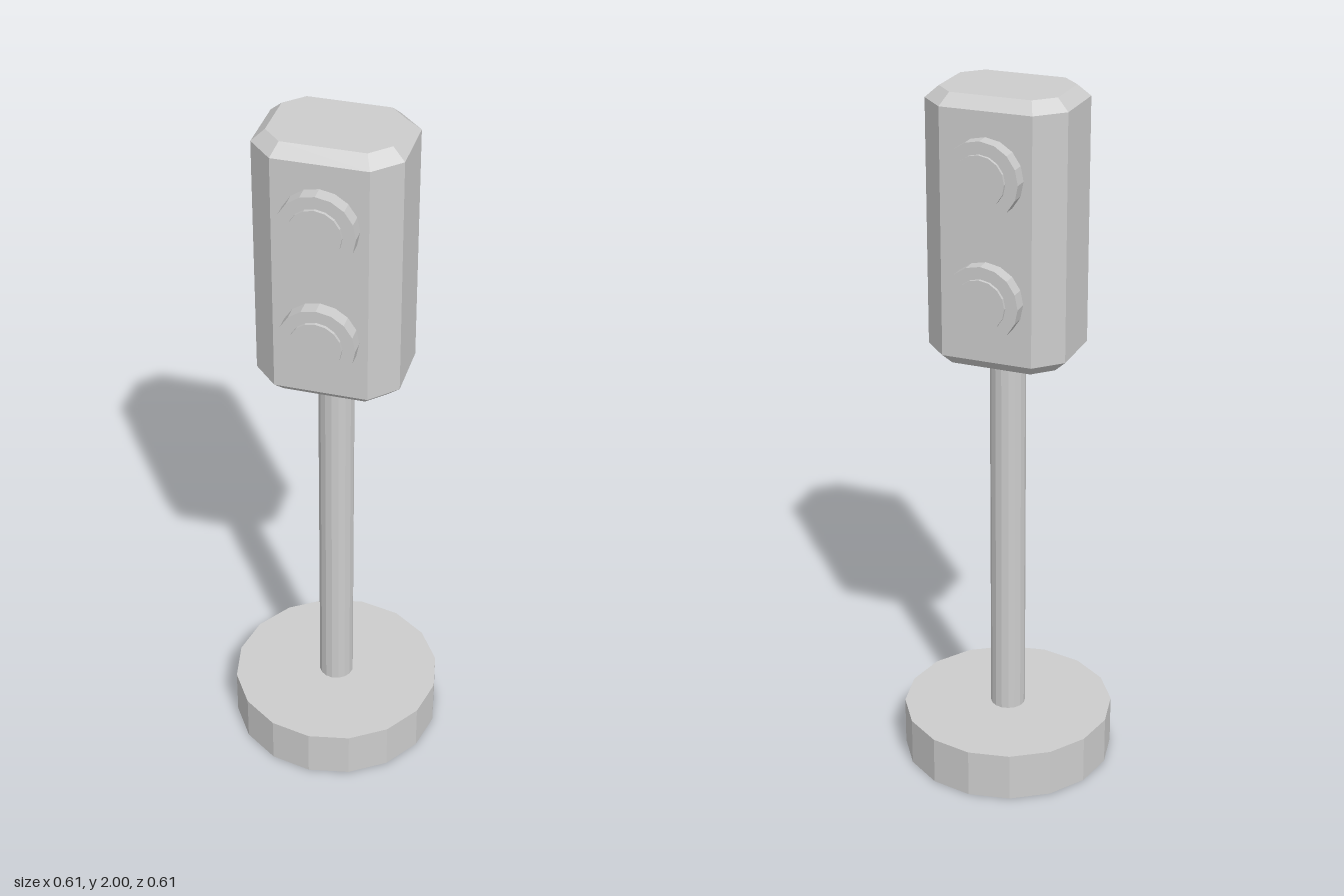
import * as THREE from 'three';

// Eight-cornered outline of the housing; inset pulls every side inwards.
function outline(inset) {
  const x = 0.198 - inset, z = 0.156 - inset;
  const cx = 0.128 - inset * 0.45, cz = 0.086 - inset * 0.45;
  return [[x, cz], [cx, z], [-cx, z], [-x, cz], [-x, -cz], [-cx, -z], [cx, -z], [x, -cz]];
}

// Housing lofted through stacked outlines and capped at both ends.
function housingGeometry() {
  const rings = [[1.254, 0.034], [1.286, 0], [1.969, 0], [2, 0.034]]
    .map(([y, inset]) => outline(inset).map(([x, z]) => [x, y, z]));
  const positions = [];
  for (let r = 0; r < 3; r++) {
    for (let i = 0; i < 8; i++) {
      const j = (i + 1) % 8;
      const a = rings[r][i], b = rings[r][j], c = rings[r + 1][j], d = rings[r + 1][i];
      positions.push(...a, ...c, ...b, ...a, ...d, ...c);
    }
  }
  for (let i = 1; i < 7; i++) {
    positions.push(...rings[0][0], ...rings[0][i], ...rings[0][i + 1]);
    positions.push(...rings[3][0], ...rings[3][i + 1], ...rings[3][i]);
  }
  const geometry = new THREE.BufferGeometry();
  geometry.setAttribute('position', new THREE.Float32BufferAttribute(positions, 3));
  geometry.computeVertexNormals();
  return geometry;
}

export function createModel() {
  const model = new THREE.Group();
  model.name = 'signalPost';
  const grey = new THREE.MeshStandardMaterial({ color: 0xcccccc });
  grey.name = 'light grey';

  const add = (name, geometry, parent = model) => {
    const mesh = new THREE.Mesh(geometry, grey);
    mesh.name = name;
    parent.add(mesh);
    return mesh;
  };
  // Faceted upright cylinder between two heights
  const cylinder = (radius, bottom, top) => new THREE.CylinderGeometry(radius, radius, top - bottom, 16)
    .translate(0, (bottom + top) / 2, 0).toNonIndexed();
  const faceted = (geometry) => { geometry.computeVertexNormals(); return geometry; };

  // Foot, pole and housing
  add('base', faceted(cylinder(0.305, 0, 0.142)));
  add('pole', faceted(cylinder(0.05, 0.142, 1.254)));
  add('housing', housingGeometry());

  // Two lamps on the front, mirrored on the back
  for (const [side, turn] of [['front', 0], ['back', Math.PI]]) {
    for (const [level, y] of [['Upper', 1.797], ['Lower', 1.462]]) {
      const lamp = new THREE.Group();
      lamp.name = `${side}${level}Lamp`;
      add('lampRing', faceted(cylinder(0.105, 0.15, 0.196).rotateX(Math.PI / 2)), lamp);
      add('lens', faceted(cylinder(0.071, 0.19, 0.205).rotateX(Math.PI / 2)), lamp);
      lamp.position.y = y;
      lamp.rotation.y = turn;
      model.add(lamp);
    }
  }
  return model;
}
